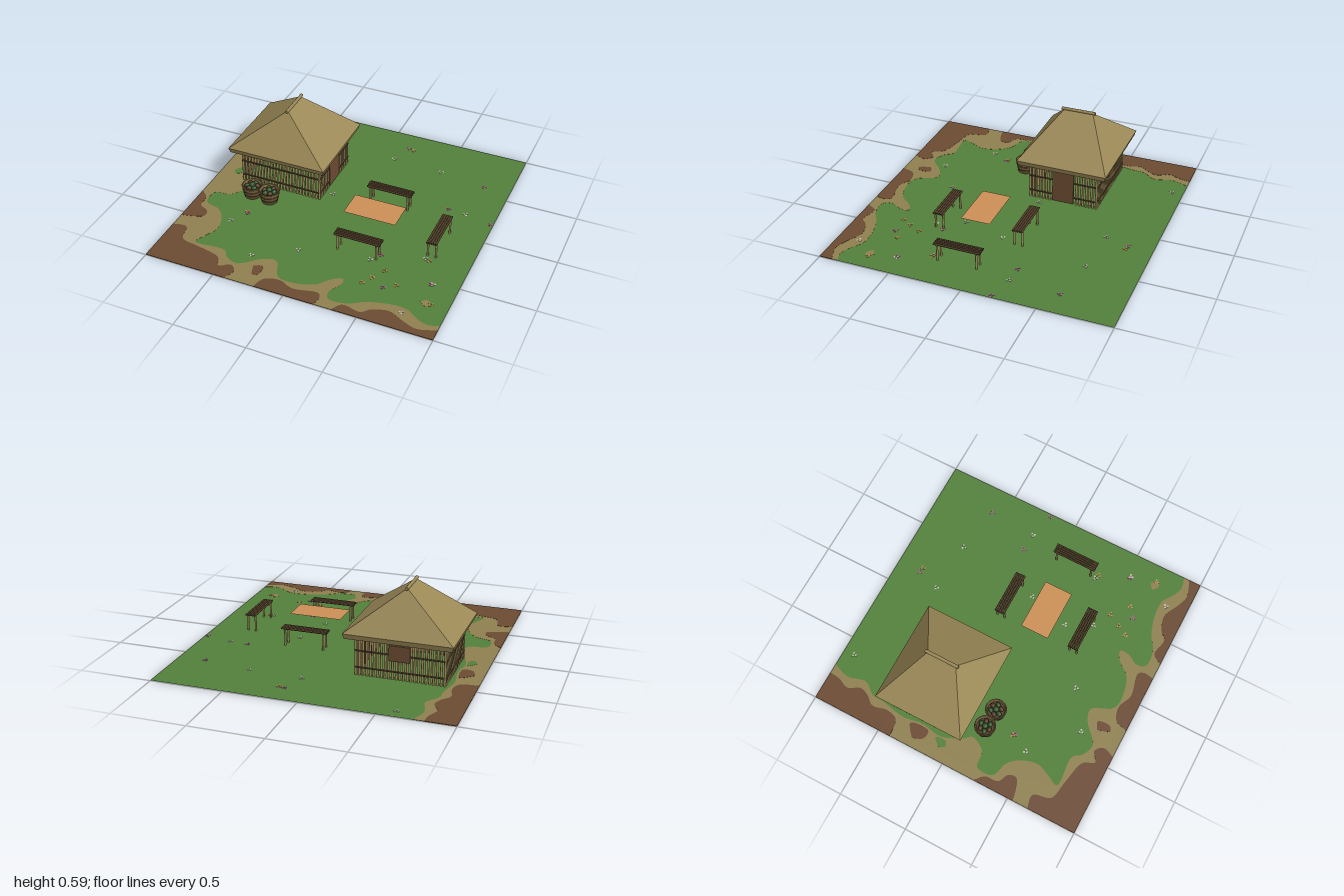
import * as THREE from 'three';

const mat = (name, color, extra = {}) => {
  const m = new THREE.MeshStandardMaterial({ color, ...extra });
  m.name = name;
  return m;
};

export function createModel() {
  const D = { side: THREE.DoubleSide };
  const grass = mat('grass', 0x52803a, D);
  const sand = mat('sand', 0x8f8050);
  const earth = mat('earth brown', 0x6b4a32);
  const straw = mat('straw', 0x9a8856);
  const darkWood = mat('dark wood', 0x513d28);
  const cloth = mat('orange cloth', 0xcb8f56, D);
  const wicker = mat('wicker', 0x80683e, D);
  const leaf = mat('leaf green', 0x35592c);
  const white = mat('pale petal', 0xc4c0b4);
  const pink = mat('pink petal', 0xb05a90);

  const root = new THREE.Group();
  root.name = 'hutYard';
  const world = new THREE.Group();
  world.name = 'yard';
  world.position.y = 0.003;
  root.add(world);

  const group = (name, x = 0, y = 0, z = 0, parent = world) => {
    const g = new THREE.Group();
    g.name = name;
    g.position.set(x, y, z);
    parent.add(g);
    return g;
  };
  const add = (parent, name, geo, m, x = 0, y = 0, z = 0) => {
    const mesh = new THREE.Mesh(geo, m);
    mesh.name = name;
    mesh.position.set(x, y, z);
    parent.add(mesh);
    return mesh;
  };
  // round pole along an axis
  const pole = (r, len, axis = 'y', n = 8) => {
    const g = new THREE.CylinderGeometry(r, r, len, n);
    if (axis === 'x') g.rotateZ(Math.PI / 2);
    if (axis === 'z') g.rotateX(Math.PI / 2);
    return g;
  };
  // four-sided block with different bottom and top sizes
  const taper = (bw, bd, tw, td, h) => {
    const g = new THREE.BoxGeometry(1, h, 1);
    const p = g.attributes.position;
    for (let i = 0; i < p.count; i++) {
      const top = p.getY(i) > 0;
      p.setX(i, p.getX(i) * (top ? tw : bw));
      p.setZ(i, p.getZ(i) * (top ? td : bd));
    }
    g.computeVertexNormals();
    return g;
  };

  // ---- Ground: grass with wavy sand and earth patches, visible on both sides
  add(world, 'grass', new THREE.PlaneGeometry(2, 2).rotateX(-Math.PI / 2), grass);
  const patch = (name, m, half, curve, corners = []) => {
    const pts = [];
    for (let i = 0; i < curve.length; i += 2) pts.push(new THREE.Vector2(curve[i], curve[i + 1]));
    const s = new THREE.Shape();
    s.moveTo(pts[0].x, pts[0].y);
    s.splineThru(pts.slice(1));
    corners.forEach(([x, z]) => s.lineTo(x, z));
    const clipped = new THREE.Shape(s.getPoints(4).map((p) => new THREE.Vector2(
      Math.max(-1, Math.min(1, p.x)), Math.max(-1, Math.min(1, p.y)))));
    const g = new THREE.ExtrudeGeometry(clipped, { depth: 2 * half, bevelEnabled: false });
    add(world, name, g.rotateX(Math.PI / 2), m, 0, half, 0);
  };
  patch('sandBorder', sand, 0.001, [
    -0.73, -1, -0.77, -0.88, -0.74, -0.75, -0.8, -0.66, -0.81, -0.56, -0.84, -0.4, -0.82, -0.25, -0.84, -0.1,
    -0.78, 0.04, -0.74, 0.1, -0.8, 0.2, -0.91, 0.22, -0.91, 0.34, -0.8, 0.38, -0.73, 0.46, -0.7, 0.58,
    -0.74, 0.68, -0.76, 0.76, -0.56, 0.75, -0.5, 0.81, -0.4, 0.84, -0.28, 0.74, -0.18, 0.72, -0.11, 0.85,
    0, 0.87, 0.14, 0.83, 0.22, 0.74, 0.29, 0.71, 0.29, 0.78, 0.25, 0.85, 0.28, 0.92, 0.4, 0.91, 0.5, 0.85,
    0.64, 0.81, 0.76, 0.81, 0.84, 0.86, 0.92, 0.89, 1, 0.87,
  ], [[1, 1], [-1, 1], [-1, -1]]);
  patch('backEarth', earth, 0.002, [
    -0.8, -1, -0.81, -0.92, -0.84, -0.84, -0.8, -0.76, -0.82, -0.69, -0.87, -0.62, -0.85, -0.52, -0.88, -0.43, -1, -0.41,
  ], [[-1, -1]]);
  patch('sideEarth', earth, 0.002, [-1, 0.24, -0.94, 0.3, -0.93, 0.39, -0.86, 0.43, -0.85, 0.49, -0.91, 0.52, -1, 0.54]);
  patch('cornerEarth', earth, 0.002, [
    -1, 0.65, -0.9, 0.64, -0.86, 0.76, -0.73, 0.79, -0.56, 0.83, -0.51, 0.91, -0.44, 0.87, -0.39, 0.92, -0.42, 1,
  ], [[-1, 1]]);
  patch('frontEarth', earth, 0.002, [-0.21, 1, -0.18, 0.91, -0.08, 0.88, 0.03, 0.92, 0.18, 0.89, 0.22, 0.93, 0.21, 1]);
  patch('rightEarth', earth, 0.002, [
    0.33, 1, 0.38, 0.93, 0.5, 0.95, 0.56, 0.9, 0.67, 0.87, 0.78, 0.92, 0.88, 0.95, 1, 0.91,
  ], [[1, 1]]);
  patch('earthSpot', earth, 0.002, [-0.3, 0.82, -0.24, 0.8, -0.23, 0.88, -0.27, 0.9, -0.3, 0.82]);
  patch('earthSpot', earth, 0.002, [-0.94, -0.27, -0.85, -0.33, -0.84, -0.2, -0.91, -0.2, -0.94, -0.27]);
  patch('grassSpot', grass, 0.002, [-0.91, -0.08, -0.86, -0.13, -0.85, -0.06, -0.89, -0.04, -0.91, -0.08]);
  patch('sandSpot', sand, 0.001, [0.81, 0.71, 0.85, 0.68, 0.88, 0.72, 0.85, 0.74, 0.81, 0.71]);

  // ---- Scattered petals, three flat specks to a flower
  const flowers = group('flowers');
  const spots = {
    white: [white, [0.28, 0.28, 0.36, -0.02, 0.37, 0.46, -0.66, 0.46, -0.36, 0.73, 0.83, 0.53, 0.47, -0.64, -0.61, -0.92,
      0.7, 0.31, -0.1, 0.56, 0.1, -0.66, 0.74, 0.85, 0.79, -0.24, -0.14, -0.09]],
    pink: [pink, [0.98, -0.2, 0.42, 0.39, 0.82, 0.53, 0.55, 0.68, 0.15, -0.83, 0.81, -0.59, -0.59, 0.34, 0.66, -0.25]],
    orange: [cloth, [0.73, 0.32, 0.5, 0.53, 0.62, 0.63, 0.41, 0.69, 0.45, 0.62, 0.88, 0.71, 0.19, -0.82, -0.6, 0.33]],
  };
  const petal = new THREE.CylinderGeometry(0.008, 0.008, 0.006, 5);
  for (const [name, [m, xz]] of Object.entries(spots))
    for (let i = 0; i < xz.length; i += 2)
      for (let k = 0; k < 3; k++)
        add(flowers, name + 'Petal', petal, m, Math.min(0.99, xz[i] + 0.012 * Math.cos(k * 2.1 + i)), 0, xz[i + 1] + 0.012 * Math.sin(k * 2.1 + i));

  // ---- Hut: pole walls, dark rails, door, shutter and hipped straw roof
  const hut = group('hut', -0.5, 0, -0.243);
  const W = 0.295, B = 0.243, H = 0.275;
  const wallPole = pole(0.0085, H);
  const row = (half, n, place) => {
    for (let i = 0; i <= n; i++) place(-half + (2 * half * i) / n);
  };
  for (const s of [-1, 1]) {
    row(W, 24, (x) => add(hut, 'wallPole', wallPole, straw, x, H / 2, s * B));
    row(B, 20, (z) => {
      if (s < 0 || Math.abs(z) > 0.08) add(hut, 'wallPole', wallPole, straw, s * W, H / 2, z);
    });
    for (const y of [0.055, 0.17]) {
      add(hut, 'rail', pole(0.006, 2 * W, 'x'), darkWood, 0, y, s * (B + 0.006));
      if (s < 0) add(hut, 'rail', pole(0.006, 2 * B, 'z'), darkWood, s * (W + 0.006), y, 0);
      else for (const t of [-1, 1]) add(hut, 'rail', pole(0.006, 0.163, 'z'), darkWood, W + 0.006, y, t * 0.161);
    }
  }
  add(hut, 'door', new THREE.BoxGeometry(0.016, 0.265, 0.155), earth, W, 0.1375, 0);
  add(hut, 'shutter', new THREE.BoxGeometry(0.14, 0.105, 0.012), earth, 0, 0.183, -B - 0.012);
  add(hut, 'eaves', taper(0.705, 0.625, 0.725, 0.645, 0.035), straw, 0, 0.2825, 0);
  add(hut, 'roof', taper(0.725, 0.645, 0.008, 0.21, 0.27), straw, 0, 0.435, 0);
  add(hut, 'ridgePole', pole(0.011, 0.245, 'z', 12), straw, 0, 0.574, 0);

  // ---- Floating cloth
  add(world, 'cloth', new THREE.PlaneGeometry(0.37, 0.205).rotateX(-Math.PI / 2), cloth, 0.268, 0.147, 0.135);

  // ---- Benches: five slats on cross bars and four legs
  const bench = (x, z, turn) => {
    const b = group('bench', x, 0, z);
    b.rotation.y = turn;
    for (let i = -2; i <= 2; i++) add(b, 'slat', pole(0.0072, 0.325, 'x'), darkWood, 0, 0.122, i * 0.0152);
    for (const s of [-1, 1]) {
      add(b, 'crossBar', pole(0.006, 0.07, 'z'), straw, s * 0.137, 0.113, 0);
      for (const t of [-1, 1]) add(b, 'leg', pole(0.0075, 0.125), straw, s * 0.137, 0.0625, t * 0.028);
    }
  };
  bench(0.268, -0.152, 0);
  bench(0.268, 0.418, 0);
  bench(0.728, 0.133, Math.PI / 2);

  // ---- Baskets of vegetables
  const profile = [[0, 0.003], [0.056, 0.003], [0.072, 0.09], [0.064, 0.09], [0.06, 0.065]].map(([x, y]) => new THREE.Vector2(x, y));
  const shell = new THREE.LatheGeometry(profile, 20);
  const veg = new THREE.SphereGeometry(0.02, 10, 8);
  const basket = (x, z, turn) => {
    const b = group('basket', x, 0, z);
    b.rotation.y = turn;
    add(b, 'basketShell', shell, wicker);
    add(b, 'basketFill', new THREE.CylinderGeometry(0.061, 0.061, 0.004, 20), darkWood, 0, 0.07, 0);
    for (const [y, r] of [[0.03, 0.061], [0.06, 0.0665]])
      add(b, 'hoop', new THREE.TorusGeometry(r, 0.003, 6, 20).rotateX(Math.PI / 2), darkWood, 0, y, 0);
    add(b, 'rim', new THREE.TorusGeometry(0.07, 0.005, 6, 20).rotateX(Math.PI / 2), wicker, 0, 0.09, 0);
    for (let i = 0; i < 6; i++) {
      const a = (i * Math.PI) / 3;
      add(b, 'vegetable', veg, i % 2 ? leaf : darkWood, 0.036 * Math.cos(a), 0.083, 0.036 * Math.sin(a)).scale.set(1, 0.9, 0.8);
    }
    add(b, 'vegetable', veg, leaf, 0, 0.092, 0);
  };
  basket(-0.652, 0.145, 0.3);
  basket(-0.515, 0.155, 1.1);

  return root;
}
